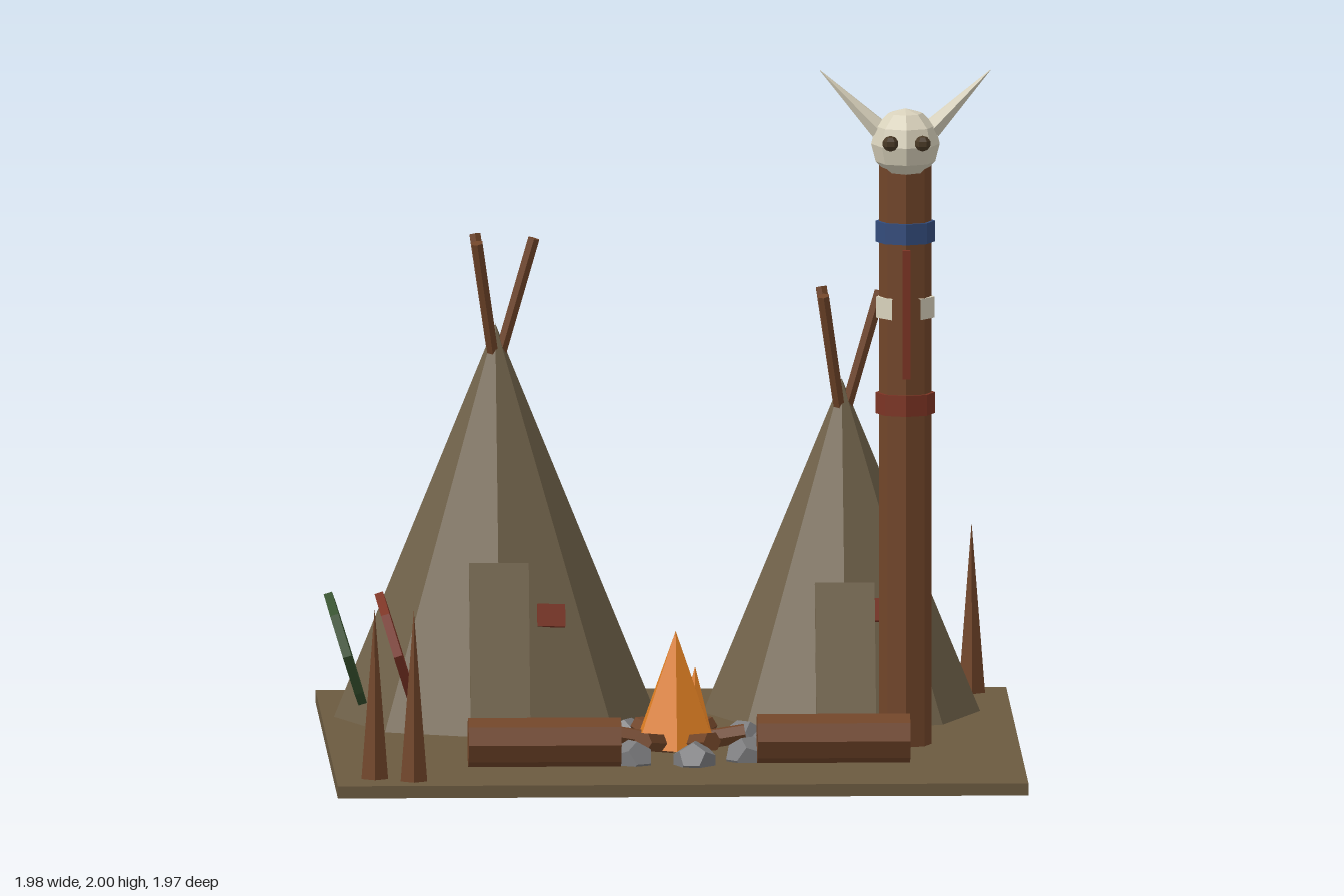
import * as THREE from 'three';

const mat = (name, color) => {
  const m = new THREE.MeshStandardMaterial({ color, flatShading: true });
  m.name = name;
  return m;
};

export function createModel() {
  const ground = mat('earth', 0x6b5a40), hide = mat('hide', 0x70624a), wood = mat('wood', 0x714529);
  const red = mat('red paint', 0x7c3424), green = mat('green paint', 0x36512f), blue = mat('blue paint', 0x344d7c);
  const bone = mat('bone', 0xd8d1bb), stone = mat('stone', 0x7b7b7d), fire = mat('flame', 0xdd7d22), dark = mat('eye socket', 0x4a3a26);

  const model = new THREE.Group();
  model.name = 'camp';
  const add = (name, geo, material, x, y, z) => {
    const m = new THREE.Mesh(geo, material);
    m.name = name;
    m.position.set(x, y, z);
    model.add(m);
    return m;
  };
  // Cylinder running from point a to point b
  const rod = (name, a, b, r0, r1, sides, material) => {
    const p = new THREE.Vector3(...a), q = new THREE.Vector3(...b), d = q.clone().sub(p);
    const m = add(name, new THREE.CylinderGeometry(r1, r0, d.length(), sides), material, ...p.clone().add(q).multiplyScalar(0.5));
    m.quaternion.setFromUnitVectors(new THREE.Vector3(0, 1, 0), d.normalize());
    return m;
  };
  const cone = (name, x, z, r, y0, y1, sides, material) =>
    add(name, new THREE.ConeGeometry(r, y1 - y0, sides), material, x, (y0 + y1) / 2, z);

  add('ground', new THREE.BoxGeometry(1.97, 0.035, 1.97), ground, 0, 0.0425, 0);

  // Tents: cover, crossed poles, door flap and painted patch
  const tents = [
    { x: -0.49, z: -0.44, r: 0.46, top: 1.19, tip: 1.435, door: [0.305, -0.05, 0.5, -0.32], patch: [-0.34, 0.387, -0.165, 0.08] },
    { x: 0.5, z: -0.5, r: 0.395, top: 1.02, tip: 1.27, door: [0.27, -0.16, 0.42, -0.35], patch: [0.61, 0.385, -0.262, 0.12] },
  ];
  for (const t of tents) {
    cone('tentCover', t.x, t.z, t.r, 0.06, t.top, 8, hide);
    for (let i = 0; i < 3; i++) {
      const a = i * Math.PI * 2 / 3, c = Math.cos(a), s = Math.sin(a);
      rod('tentPole', [t.x + 0.015 * c, t.tip - 0.33, t.z + 0.015 * s], [t.x + 0.11 * c, t.tip, t.z + 0.11 * s], 0.018, 0.018, 6, wood);
    }
    const [dy, dz, dh, tilt] = t.door;
    add('doorFlap', new THREE.BoxGeometry(0.17, dh, 0.02), hide, t.x, dy, dz).rotation.x = tilt;
    const [px, py, pz, pw] = t.patch;
    add('tentPatch', new THREE.BoxGeometry(pw, 0.065, 0.02), red, px, py, pz).rotation.set(tilt, 0.1, 0);
  }

  // Painted post with bands and a hanging strip
  const tx = 0.66, tz = 0.168;
  add('post', new THREE.CylinderGeometry(0.075, 0.075, 1.68, 8), wood, tx, 0.9, tz);
  add('blueBand', new THREE.CylinderGeometry(0.085, 0.085, 0.06, 8), blue, tx, 1.537, tz);
  add('redBand', new THREE.CylinderGeometry(0.085, 0.085, 0.06, 8), red, tx, 1.043, tz);
  add('whiteBand', new THREE.CylinderGeometry(0.085, 0.085, 0.06, 6, 1, false, 0.5, Math.PI * 2 - 1), bone, tx, 1.32, tz);
  add('hangingStrip', new THREE.BoxGeometry(0.022, 0.37, 0.018), red, tx, 1.31, 0.267);

  // Skull with horns and eyes
  add('skull', new THREE.SphereGeometry(1, 8, 6), bone, tx, 1.79, 0.18).scale.set(0.098, 0.102, 0.11);
  for (const s of [-1, 1]) {
    rod('horn', [tx + s * 0.075, 1.83, 0.167], [tx + s * 0.243, 2, 0.167], 0.031, 0.001, 6, bone);
    add('eye', new THREE.SphereGeometry(0.023, 6, 5), dark, tx + s * 0.046, 1.804, 0.28);
  }

  // Campfire: flames, radial firewood and a ring of stones
  const fz = 0.325;
  cone('flame', 0, fz, 0.13, 0.08, 0.41, 6, fire);
  cone('smallFlame', 0.055, fz + 0.005, 0.065, 0.08, 0.31, 6, fire);
  for (let i = 0; i < 6; i++) {
    const a = i * Math.PI / 3, c = Math.cos(a), s = Math.sin(a);
    rod('firewood', [0.04 * c, 0.09, fz + 0.04 * s], [0.198 * c, 0.115, fz + 0.198 * s], 0.029, 0.029, 6, wood);
  }
  for (let i = 0; i < 9; i++) {
    const a = i * Math.PI * 2 / 9;
    add('stone', new THREE.DodecahedronGeometry(0.065), stone, 0.26 * Math.cos(a), 0.066, fz + 0.26 * Math.sin(a)).rotation.y = a;
  }

  // Log seats
  for (const [x, z] of [[-0.383, 0.6], [0.443, 0.545]])
    rod('logSeat', [x - 0.218, 0.13, z], [x + 0.218, 0.13, z], 0.071, 0.071, 8, wood);

  // Leaning shields
  for (const [x, m] of [[-0.787, red], [-0.932, green]])
    add('shield', new THREE.CylinderGeometry(0.168, 0.168, 0.025, 8), m, x, 0.318, 0).rotation.z = -1.27;

  // Pointed stakes
  for (const [x, z] of [[-0.875, 0.825], [-0.765, 0.878], [0.883, -0.882]])
    cone('stake', x, z, 0.04, 0.06, 0.55, 5, wood);

  return model;
}
